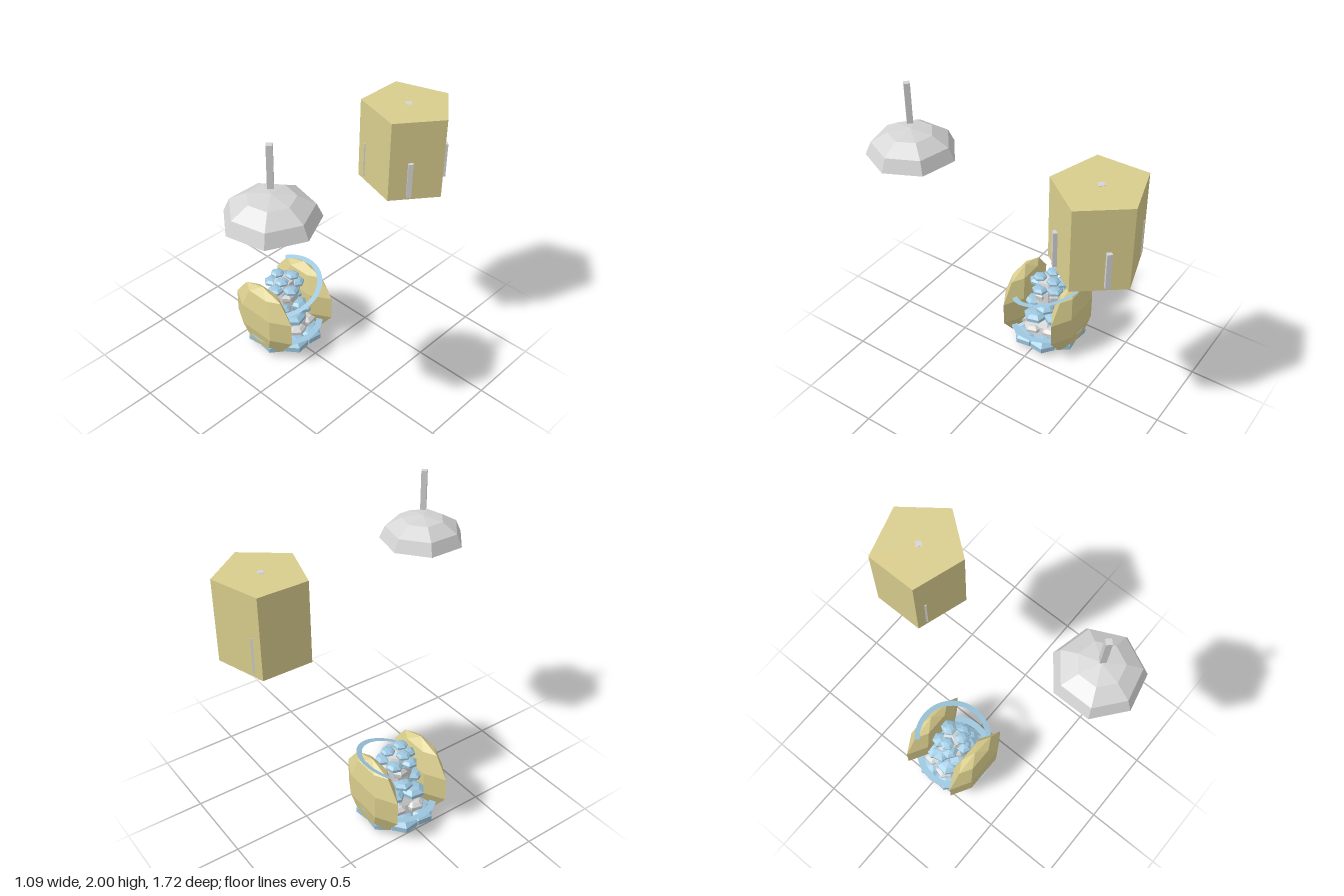
import * as THREE from 'three';

const flat = (name, color, side = THREE.FrontSide) => {
  const m = new THREE.MeshStandardMaterial({ color, flatShading: true, side });
  m.name = name;
  return m;
};

export function createModel() {
  const root = new THREE.Group();
  const straw = flat('straw yellow', 0xd9cd8d);
  const grey = flat('light grey', 0xd4d4d4);
  const blue = flat('pale blue', 0x9cc6de, THREE.DoubleSide);

  const add = (parent, name, geo, mat, x, y, z, turn = 0) => {
    const m = new THREE.Mesh(geo, mat);
    m.name = name;
    m.position.set(x, y, z);
    m.rotation.y = turn;
    parent.add(m);
    return m;
  };
  const group = (name, x, z) => {
    const g = new THREE.Group();
    g.name = name;
    g.position.set(x, 0, z);
    root.add(g);
    return g;
  };
  // four-sided upright rod with its corners on the axes
  const rod = (r, h) => new THREE.CylinderGeometry(r, r, h, 4);

  // Hanging lamp: rod, faceted dome with closed underside, squashed bulb
  const lamp = group('lamp', 0.27, 0.6);
  add(lamp, 'lampRod', rod(0.025, 0.25), grey, 0, 1.875, 0);
  const dome = new THREE.SphereGeometry(0.27, 7, 3, 0, Math.PI * 2, 0, Math.PI / 2).scale(1, 0.16 / 0.27, 1);
  add(lamp, 'lampShade', dome, grey, 0, 1.55, 0, Math.PI);
  add(lamp, 'lampUnderside', new THREE.CircleGeometry(0.27, 7).rotateX(Math.PI / 2), grey, 0, 1.55, 0);
  add(lamp, 'bulb', new THREE.SphereGeometry(0.077, 5, 5).scale(1, 0.42, 1), grey, 0.005, 1.516, 0, Math.PI);

  // Five-sided drum with four upright bars half sunk in its sides
  const drum = group('drum', 0.18, -0.6);
  const prism = new THREE.CylinderGeometry(1, 1, 0.525, 5).rotateY(Math.PI / 2).scale(0.29, 1, 0.273);
  add(drum, 'drumBody', prism, straw, 0, 1.4675, 0);
  const base = new THREE.CircleGeometry(1, 5).rotateX(Math.PI / 2).scale(0.29, 1, 0.273);
  add(drum, 'drumBase', base, grey, 0, 1.203, 0);
  add(drum, 'drumPin', rod(0.027, 0.05), grey, 0, 1.707, 0);
  for (const sx of [-1, 1]) for (const sz of [-1, 1]) {
    add(drum, 'drumBar', rod(0.021, 0.23), grey, sx * 0.172, 1.345, sz * 0.165);
  }

  // Clustered mound between two flattened shells
  const mound = group('mound', -0.29, 0);
  const shell = new THREE.SphereGeometry(1, 6, 5).scale(0.273, 0.258, 0.09);
  for (const s of [-1, 1]) add(mound, 'shell', shell, straw, 0, 0.266, s * 0.187);

  const profile = [[0, 0.01], [0.15, 0.015], [0.18, 0.08], [0.16, 0.17], [0.11, 0.24],
    [0.095, 0.34], [0.085, 0.42], [0.06, 0.48], [0, 0.495]];
  add(mound, 'core', new THREE.LatheGeometry(profile.map(p => new THREE.Vector2(...p)), 9), grey, 0, 0, 0);

  // rings of flattened lumps: name, material, count, ring radius, y, size, half height, start angle
  const rings = [
    ['baseLump', blue, 8, 0.165, 0.062, 0.1, 0.058, 0.39],
    ['stoneLump', grey, 7, 0.14, 0.15, 0.07, 0.035, 0.2],
    ['lowerLump', blue, 5, 0.115, 0.235, 0.085, 0.038, 0.25],
    ['middleLump', blue, 5, 0.1, 0.31, 0.065, 0.03, 0.9],
    ['upperStone', grey, 4, 0.06, 0.38, 0.055, 0.04, 0.4],
    ['upperLump', blue, 5, 0.085, 0.44, 0.055, 0.027, 0.2],
    ['topLump', blue, 3, 0.058, 0.5, 0.048, 0.02, 1.0],
  ];
  for (const [name, mat, n, ring, y, size, half, start] of rings) {
    const lump = new THREE.SphereGeometry(1, 6, 5).scale(size, half, size);
    for (let i = 0; i < n; i++) {
      const a = start + i * Math.PI * 2 / n;
      add(mound, name, lump, mat, Math.cos(a) * ring, y, Math.sin(a) * ring, -a);
    }
  }

  // Flat ribbons circling the mound; tilt raises the back
  const ribbon = (name, inner, outer, from, sweep, y, tilt) => {
    const geo = new THREE.RingGeometry(inner, outer, 28, 1, from, sweep).rotateX(-Math.PI / 2);
    add(mound, name, geo, blue, 0, y, 0).rotation.x = tilt;
  };
  ribbon('lowerRibbon', 0.215, 0.258, 0, Math.PI * 2, 0.132, 0.06);
  ribbon('upperRibbon', 0.225, 0.26, -0.9, 3.2, 0.425, 0.32);

  return root;
}
